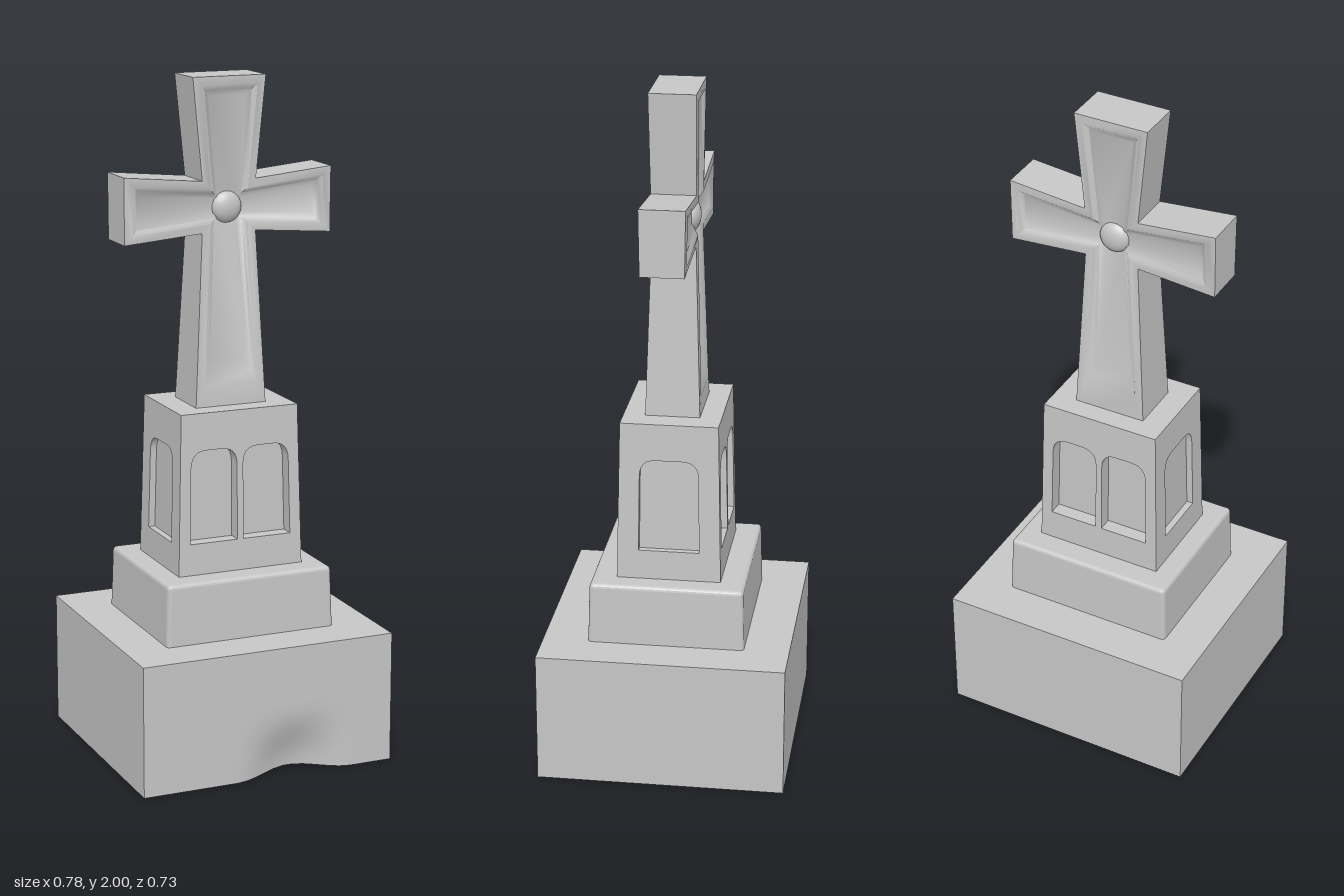
import * as THREE from 'three';
import { toCreasedNormals } from 'three/addons/utils/BufferGeometryUtils.js';
import { RoundedBoxGeometry } from 'three/addons/geometries/RoundedBoxGeometry.js';

const lerp = THREE.MathUtils.lerp;
const smooth = THREE.MathUtils.smoothstep;

// Move every vertex of a geometry by a rule
function warp(geo, rule) {
  const p = geo.attributes.position, v = new THREE.Vector3();
  for (let i = 0; i < p.count; i++) {
    rule(v.fromBufferAttribute(p, i));
    p.setXYZ(i, v.x, v.y, v.z);
  }
  geo.computeVertexNormals();
  return geo;
}

// Round-topped niche opening
function arch(x0, x1, y0, y1) {
  const r = Math.min((x1 - x0) / 2, 0.05), h = new THREE.Path();
  h.moveTo(x0, y0);
  h.lineTo(x1, y0);
  h.lineTo(x1, y1 - r);
  h.quadraticCurveTo(x1, y1, x1 - r, y1);
  h.lineTo(x0 + r, y1);
  h.quadraticCurveTo(x0, y1, x0, y1 - r);
  h.closePath();
  return h;
}

// Cross outline, inset by d
function crossRing(d) {
  const half = [
    [0.11 - d, 1.04 + 2.6 * d], [0.083 - d, 1.555 + d], [0.32 - d, 1.535 + d],
    [0.32 - d, 1.728 - d], [0.083 - d, 1.705 - d], [0.112 - d, 2 - d],
  ];
  return [...half, ...half.map(([x, y]) => [-x, y]).reverse()].map(([x, y]) => new THREE.Vector2(x, y));
}

// Cross body lofted through rings, with a softly sunken panel on both faces
function crossGeometry() {
  const rings = [[0.056, -0.045], [0.04, -0.055], [0.026, -0.066], [0, -0.064],
    [0, 0.064], [0.026, 0.066], [0.04, 0.055], [0.056, 0.045]];
  const pos = [], index = [], n = 12;
  for (const [d, z] of rings) for (const p of crossRing(d)) pos.push(p.x, p.y, z);
  for (let r = 0; r < rings.length - 1; r++) {
    for (let i = 0; i < n; i++) {
      const a = r * n + i, b = r * n + (i + 1) % n;
      index.push(a, b, b + n, a, b + n, a + n);
    }
  }
  const last = (rings.length - 1) * n;
  for (const [a, b, c] of THREE.ShapeUtils.triangulateShape(crossRing(0.056), [])) {
    index.push(a, c, b, last + a, last + b, last + c);
  }
  const geo = new THREE.BufferGeometry();
  geo.setAttribute('position', new THREE.Float32BufferAttribute(pos, 3));
  geo.setIndex(index);
  // The shaft thickens towards its foot and slightly towards its head
  warp(geo, (v) => {
    v.z *= v.y < 1.54 ? lerp(1.25, 0.98, (v.y - 1.04) / 0.5) : lerp(1, 1.06, (v.y - 1.54) / 0.46);
  });
  return toCreasedNormals(geo, 0.95);
}

export function createModel() {
  const group = new THREE.Group();
  const stone = new THREE.MeshStandardMaterial({ color: 0xc6c6c6 });
  stone.name = 'paleStone';
  const add = (name, geo, parent = group) => {
    const mesh = new THREE.Mesh(geo, stone);
    mesh.name = name;
    parent.add(mesh);
    return mesh;
  };

  // Base block with a shallow worn hollow low on the front
  const block = new RoundedBoxGeometry(0.78, 0.39, 0.726, 2, 0.008).translate(0, 0.195, 0);
  const front = new THREE.BoxGeometry(0.764, 0.374, 0.1, 24, 14, 2).translate(0, 0.195, 0.313);
  block.dispose();
  const body = new THREE.BoxGeometry(0.78, 0.39, 0.726, 24, 12, 14).translate(0, 0.195, 0);
  front.dispose();
  warp(body, (v) => {
    const wear = smooth(v.z, 0.2, 0.36) * (1 - smooth(v.y, 0, 0.2)) * (1 - smooth(Math.abs(v.x - 0.08), 0, 0.18));
    v.z -= 0.05 * wear;
    v.y += 0.012 * wear;
  });
  add('baseBlock', toCreasedNormals(body, 0.7));

  // Middle step
  const step = new RoundedBoxGeometry(0.52, 0.24, 0.455, 2, 0.012).translate(0, 0.452, 0);
  add('step', warp(step, (v) => { const s = lerp(1.015, 0.99, (v.y - 0.36) / 0.21); v.x *= s; v.z *= s; }));

  // Pedestal: a core faced with niche plates, all tapering upward
  const pedestal = new THREE.Group();
  pedestal.name = 'pedestal';
  group.add(pedestal);
  const y0 = 0.565, y1 = 1.05;
  const taper = (geo) => toCreasedNormals(warp(geo, (v) => {
    const s = lerp(1, 0.935, (v.y - y0) / (y1 - y0));
    v.x *= s;
    v.z *= s;
  }), 0.5);
  add('pedestalCore', taper(new THREE.BoxGeometry(0.35, y1 - y0, 0.22).translate(0, (y0 + y1) / 2, 0)), pedestal);

  const plate = (name, half, depth, offset, turn, holes) => {
    const s = new THREE.Shape();
    s.moveTo(-half, y0);
    s.lineTo(half, y0);
    s.lineTo(half, y1);
    s.lineTo(-half, y1);
    s.closePath();
    s.holes.push(...holes);
    const geo = new THREE.ExtrudeGeometry(s, { depth, bevelEnabled: false, curveSegments: 6 });
    add(name, taper(geo.translate(0, 0, offset).rotateY(turn)), pedestal);
  };
  const pair = () => [arch(-0.16, -0.01, 0.665, 0.94), arch(0.01, 0.16, 0.665, 0.94)];
  plate('frontNiches', 0.195, 0.043, 0.11, 0, pair());
  plate('backNiches', 0.195, 0.043, 0.11, Math.PI, pair());
  for (const side of [1, -1]) {
    plate(side > 0 ? 'leftNiche' : 'rightNiche', 0.11, 0.02, 0.175, side * Math.PI / 2,
      [arch(-0.09, 0.09, 0.66, 0.94)]);
  }

  // Cross with a low rounded boss on each face
  add('cross', crossGeometry());
  for (const side of [1, -1]) {
    const boss = add(side > 0 ? 'frontBoss' : 'backBoss', new THREE.SphereGeometry(0.046, 20, 12));
    boss.scale.z = 0.55;
    boss.position.set(0, 1.625, side * 0.043);
  }
  return group;
}
